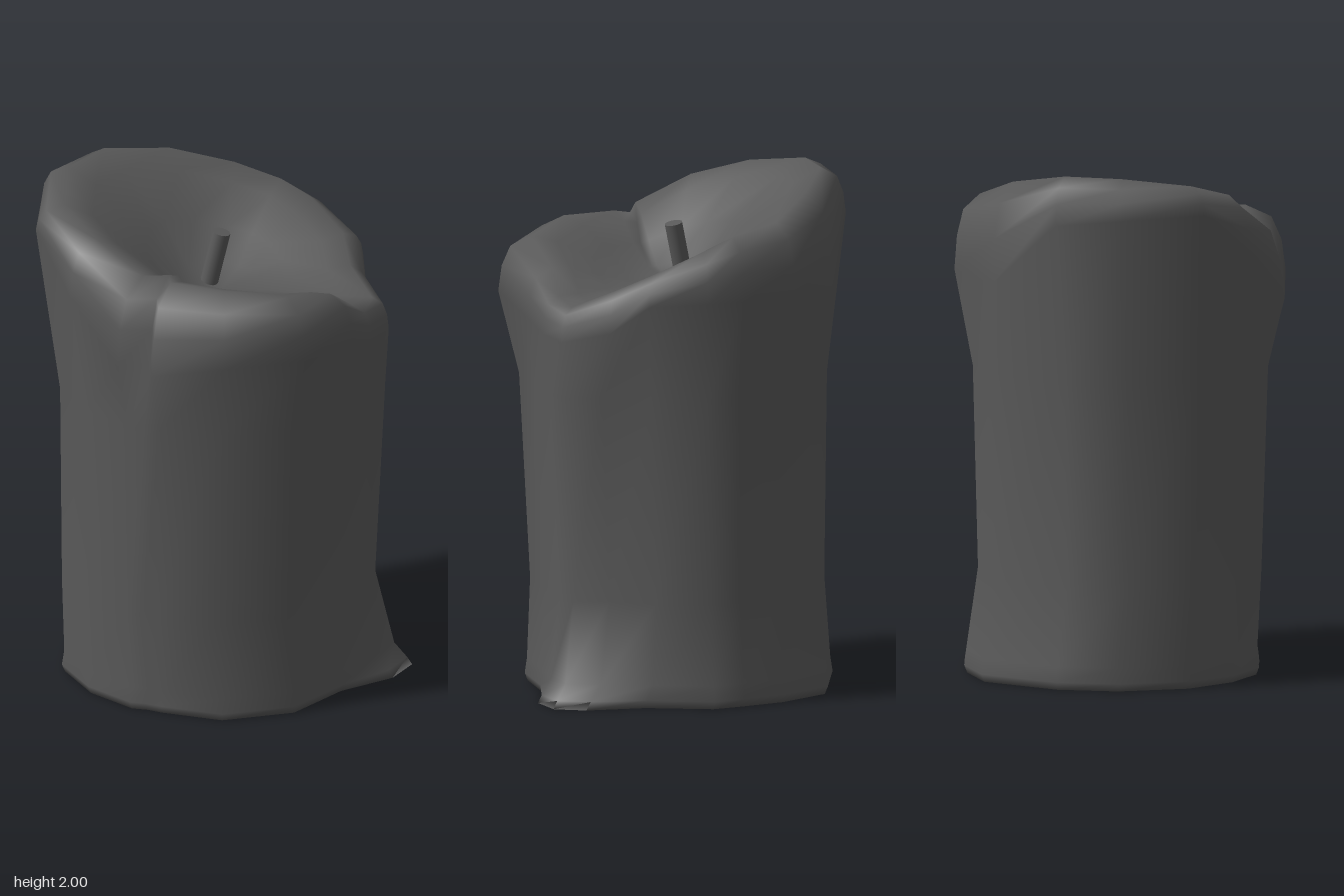
import * as THREE from 'three';

const { lerp } = THREE.MathUtils;

// One row per column of wax, counter-clockwise from the front:
// bulge x, bulge z, bulge height, crest height, crest scale, body x, body z
const COLUMNS = [
  [0.05, 0.66, 1.52, 1.74, 0.80, 0.04, 0.58],
  [0.34, 0.48, 1.47, 1.66, 0.83, 0.30, 0.46],
  [0.46, 0.39, 1.43, 1.57, 0.87, 0.47, 0.36],
  [0.58, 0.29, 1.42, 1.55, 0.90, 0.57, 0.28],
  [0.58, 0.10, 1.46, 1.62, 0.88, 0.53, 0.14],
  [0.64, -0.07, 1.58, 1.69, 0.86, 0.56, -0.06],
  [0.58, -0.29, 1.59, 1.78, 0.86, 0.53, -0.28],
  [0.49, -0.41, 1.59, 1.83, 0.86, 0.44, -0.38],
  [0.34, -0.58, 1.58, 1.87, 0.85, 0.31, -0.51],
  [0.05, -0.66, 1.56, 1.95, 0.84, 0.09, -0.63],
  [-0.28, -0.64, 1.82, 2.00, 0.86, -0.26, -0.57],
  [-0.52, -0.52, 1.85, 2.00, 0.85, -0.46, -0.43],
  [-0.68, -0.23, 1.86, 1.96, 0.84, -0.60, -0.18],
  [-0.66, 0.04, 1.68, 1.90, 0.83, -0.60, 0.06],
  [-0.58, 0.30, 1.47, 1.80, 0.76, -0.52, 0.27],
  [-0.44, 0.30, 1.45, 1.78, 0.74, -0.47, 0.31],
  [-0.48, 0.40, 1.45, 1.78, 0.73, -0.43, 0.36],
  [-0.27, 0.61, 1.52, 1.78, 0.75, -0.25, 0.53],
];
const FLOOR = 1.58;

// Spilled wax at the foot: column index -> [x, z] on the ground
const FOOT = { 2: [0.55, 0.39], 3: [0.675, 0.30], 4: [0.675, 0.17], 5: [0.57, -0.04] };

// Points of one column from the ground, over the rim and down into the bowl
function columnPoints([bx, bz, by, crest, crestScale, mx, mz], index) {
  const base = (s, y) => [mx * s + 0.02, y, mz * s - 0.027];
  const rim = (s, y) => [bx * s, y, bz * s];
  const shoulder = (t, rise) => rim(lerp(1, crestScale, t), lerp(by, crest, rise));
  const bowl = (radius, t) => rim(radius / Math.hypot(bx, bz), lerp(crest, FLOOR, t));
  const points = [
    base(0.98, 0), base(1, 0.03), base(0.985, 0.09),
    [mx * 0.965 - 0.01, 0.4, mz * 0.955 - 0.015],
    [mx, 1.2, mz],
    rim(1, by), shoulder(0.1, 0.45), shoulder(0.35, 0.8), rim(crestScale, crest),
    rim(crestScale * 0.82, lerp(crest, FLOOR, 0.14)), bowl(0.29, 0.52), bowl(0.17, 0.88),
  ];
  if (FOOT[index]) {
    const [fx, fz] = FOOT[index];
    [1, 0.8, 0.35].forEach((t, r) => {
      const p = points[r];
      p[0] = lerp(p[0], fx, t);
      p[2] = lerp(p[2], fz, t);
    });
  }
  return points;
}

function waxGeometry() {
  const columns = COLUMNS.map(columnPoints);
  const n = columns.length;
  const rings = columns[0].length;
  const positions = [];
  const indices = [];
  for (let r = 0; r < rings; r++) columns.forEach((c) => positions.push(...c[r]));

  // Centres of the bowl floor and the underside
  const floor = rings * n;
  const underside = floor + 1;
  positions.push(0, FLOOR, 0, 0.02, 0, -0.027);

  for (let i = 0; i < n; i++) {
    const j = (i + 1) % n;
    // Outer wall, rim and bowl
    for (let r = 0; r < rings - 1; r++) {
      const a = r * n + i, b = r * n + j, c = b + n, d = a + n;
      indices.push(a, b, c, a, c, d);
    }
    indices.push((rings - 1) * n + i, (rings - 1) * n + j, floor);
    indices.push(underside, j, i);
  }

  const geometry = new THREE.BufferGeometry();
  geometry.setAttribute('position', new THREE.Float32BufferAttribute(positions, 3));
  geometry.setIndex(indices);
  geometry.computeVertexNormals();
  return geometry;
}

export function createModel() {
  const group = new THREE.Group();
  group.name = 'candle';
  const material = new THREE.MeshStandardMaterial({ color: 0x5a5a5a });

  const wax = new THREE.Mesh(waxGeometry(), material);
  wax.name = 'wax';
  group.add(wax);

  // Leaning wick
  const from = new THREE.Vector3(-0.04, 1.5, -0.07);
  const to = new THREE.Vector3(0.015, 1.805, -0.025);
  const along = to.clone().sub(from);
  const wick = new THREE.Mesh(new THREE.CylinderGeometry(0.035, 0.035, along.length(), 12), material);
  wick.name = 'wick';
  wick.position.copy(from).add(to).multiplyScalar(0.5);
  wick.quaternion.setFromUnitVectors(new THREE.Vector3(0, 1, 0), along.normalize());
  group.add(wick);

  return group;
}
